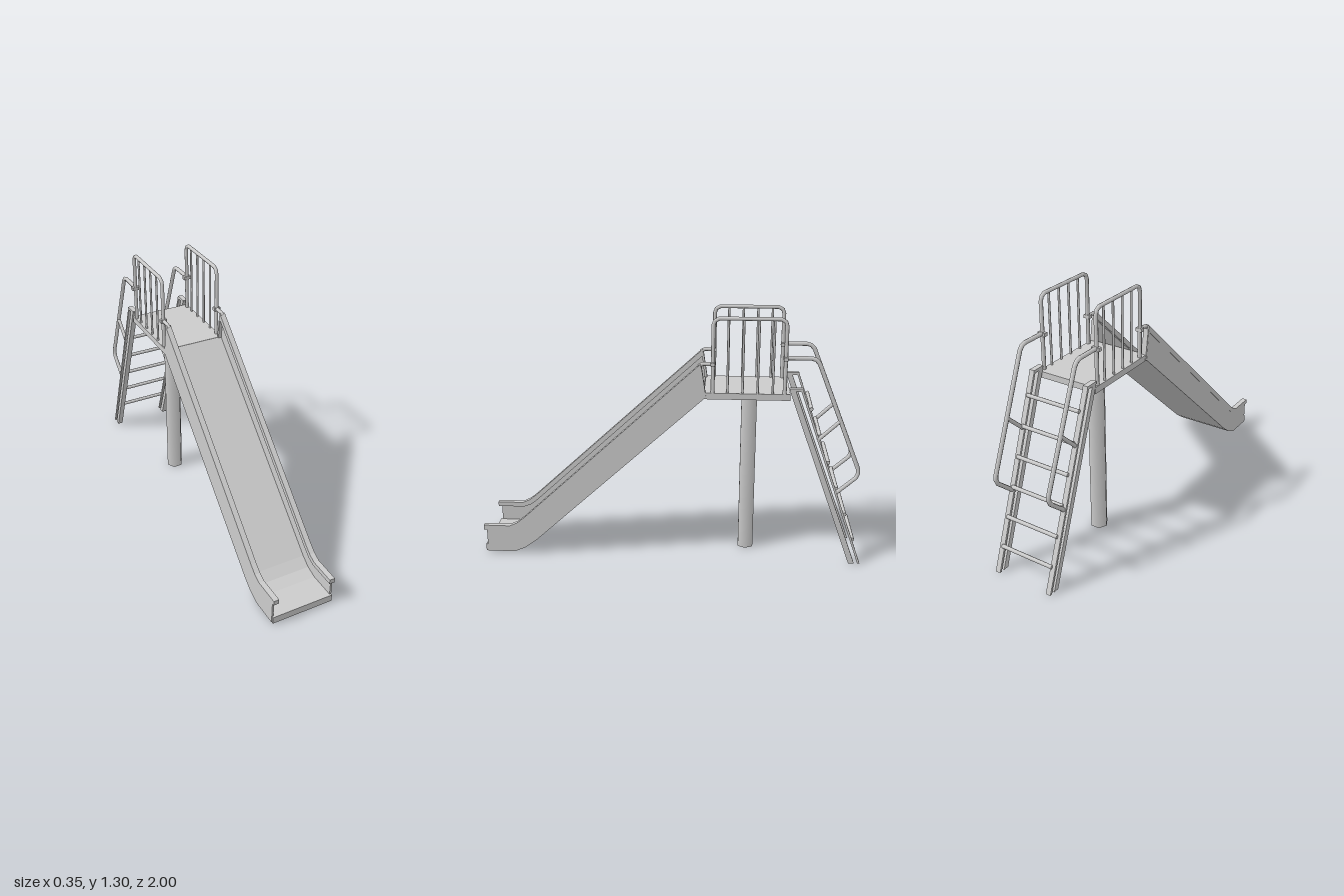
import * as THREE from 'three';

const mat = new THREE.MeshStandardMaterial({ color: 0xcccccc, side: THREE.DoubleSide });

// Polyline path whose samples fall exactly on its corners
class Polyline extends THREE.Curve {
  constructor(points) { super(); this.points = points; }
  getPointAt(u, target = new THREE.Vector3()) {
    return target.copy(this.points[Math.round(u * (this.points.length - 1))]);
  }
  getTangentAt(u, target = new THREE.Vector3()) {
    const p = this.points, i = Math.round(u * (p.length - 1));
    target.set(0, 0, 0);
    if (i > 0) target.add(p[i].clone().sub(p[i - 1]).normalize());
    if (i < p.length - 1) target.add(p[i + 1].clone().sub(p[i]).normalize());
    return target.normalize();
  }
}

export function createModel() {
  const model = new THREE.Group();
  model.name = 'playgroundSlide';

  const add = (name, geometry) => {
    const mesh = new THREE.Mesh(geometry, mat);
    mesh.name = name;
    model.add(mesh);
    return mesh;
  };
  // Side profile of [z, y] points, extruded across x between x0 and x1
  const plate = (name, pts, x0, x1) => {
    const shape = new THREE.Shape(pts.map(([z, y]) => new THREE.Vector2(z, y)));
    const g = new THREE.ExtrudeGeometry(shape, { depth: x1 - x0, bevelEnabled: false });
    g.rotateY(-Math.PI / 2).translate(x1, 0, 0);
    return add(name, g);
  };
  const box = (name, w, h, d, x, y, z) =>
    add(name, new THREE.BoxGeometry(w, h, d).translate(x, y, z));
  // Pipe through [z, y] points at a fixed x
  const pipe = (name, x, pts, r) => {
    const path = new Polyline(pts.map(([z, y]) => new THREE.Vector3(x, y, z)));
    return add(name, new THREE.TubeGeometry(path, pts.length - 1, r, 8));
  };
  // Same plate on both sides, given its inner and outer distance from the middle
  const platePair = (name, pts, inner, outer) => {
    plate(name + 'Left', pts, inner, outer);
    plate(name + 'Right', pts, -outer, -inner);
  };

  // Chute: bed, side walls and their top rails
  const under = [[0.84, 0.01], [0.78, 0.036], [0.72, 0.08], [-0.17, 0.89]];
  const bedTop = [[-0.165, 0.92], [0.74, 0.1], [0.79, 0.065], [0.85, 0.048]];
  const railTop = [[-0.15, 1.068], [0.78, 0.21], [0.82, 0.178], [0.86, 0.16], [1, 0.16]];
  plate('chuteBed', [[0.995, 0.01], ...under, ...bedTop, [0.995, 0.048]], -0.166, 0.166);
  platePair('chuteWall', [[0.985, 0.01], ...under, ...railTop.slice(0, 4), [0.985, 0.16]], 0.158, 0.168);
  platePair('chuteRail',
    [...railTop, [1, 0.135], [0.855, 0.135], [0.81, 0.152], [0.77, 0.185], [-0.153, 1.035]], 0.141, 0.17);

  // Platform and its supporting post
  box('platform', 0.33, 0.032, 0.43, 0, 0.903, -0.383);
  add('post', new THREE.CylinderGeometry(0.046, 0.046, 0.89, 6)
    .rotateY(Math.PI / 2).translate(-0.024, 0.445, -0.398));

  for (const side of [1, -1]) {
    const s = side > 0 ? 'Left' : 'Right', x = side * 0.154;

    // Guard rail with upright bars
    pipe('guardFrame' + s, x, [
      [-0.211, 0.9], [-0.211, 1.262], [-0.218, 1.283], [-0.24, 1.295],
      [-0.54, 1.295], [-0.562, 1.283], [-0.569, 1.262], [-0.569, 0.9]], 0.01);
    for (let i = 0; i < 4; i++) {
      const z = -0.285 - i * 0.075;
      pipe('guardBar' + s, x, [[z, 0.9], [z, 1.295]], 0.006);
    }
    // Link from chute rail to guard rail
    pipe('chuteLink' + s, x, [[-0.14, 1.055], [-0.16, 1.066], [-0.215, 1.066]], 0.01);
    box('chuteClamp' + s, 0.034, 0.018, 0.022, x, 1.066, -0.211);
    plate('chuteFlange' + s, [[-0.145, 1.05], [-0.155, 1.05], [-0.18, 0.89], [-0.165, 0.89]],
      x - 0.013, x + 0.014);

    // Ladder hand rail, brace and clamp
    pipe('handRail' + s, x, [
      [-0.569, 1.103], [-0.695, 1.103], [-0.718, 1.096], [-0.735, 1.077],
      [-0.956, 0.53], [-0.958, 0.505], [-0.948, 0.48], [-0.853, 0.395]], 0.011);
    pipe('handRailBrace' + s, x, [[-0.745, 0.68], [-0.855, 0.785]], 0.01);
    box('handRailClamp' + s, 0.042, 0.018, 0.022, x, 1.1, -0.569);
  }

  // Ladder stringers: front and rear flanges joined by a cap
  platePair('stringerFront', [[-0.592, 0.945], [-0.622, 0.945], [-0.968, 0], [-0.938, 0]], 0.14, 0.167);
  platePair('stringerRear', [[-0.648, 0.945], [-0.66, 0.945], [-0.998, 0], [-0.986, 0]], 0.14, 0.167);
  platePair('stringerCap', [[-0.592, 0.95], [-0.66, 0.95], [-0.664, 0.936], [-0.597, 0.936]], 0.14, 0.167);

  // Rungs
  for (let i = 0; i < 6; i++) {
    const y = 0.13 + i * 0.142;
    add('rung', new THREE.CylinderGeometry(0.01, 0.01, 0.3, 8)
      .rotateZ(Math.PI / 2).translate(0, y, -0.954 + i * 0.0495));
  }
  return model;
}
